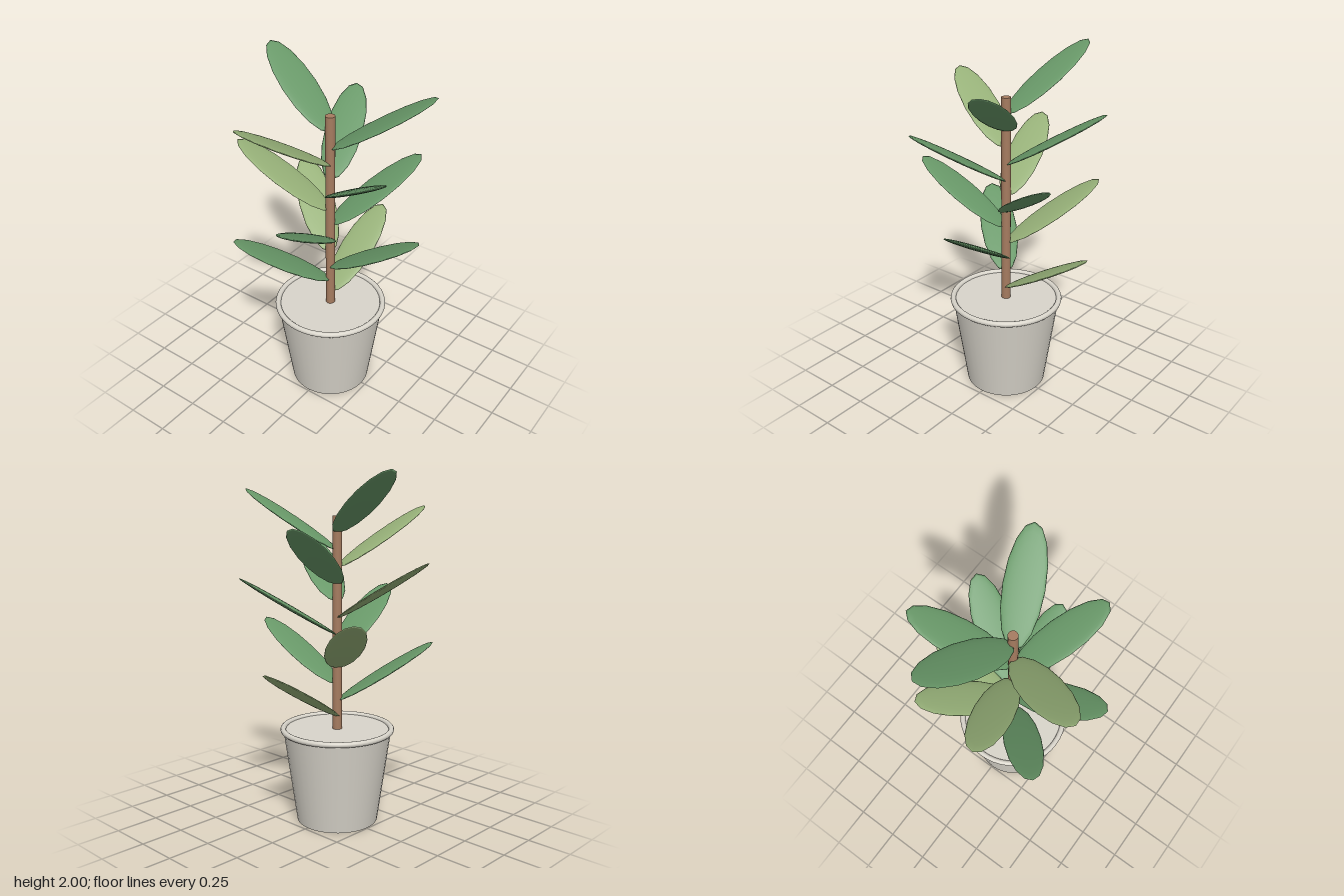
import * as THREE from 'three';

const paint = (name, color) => {
  const material = new THREE.MeshStandardMaterial({ color });
  material.name = name;
  return material;
};

export function createModel() {
  const ceramic = paint('warm white ceramic', 0xd8d4ca);
  const bark = paint('brown bark', 0xa67c60);
  const green = paint('leaf green', 0x689868);
  const lightGreen = paint('light leaf green', 0x96b078);

  const plant = new THREE.Group();
  plant.name = 'pottedPlant';

  const add = (name, geometry, material, y, parent = plant) => {
    const mesh = new THREE.Mesh(geometry, material);
    mesh.name = name;
    mesh.position.y = y;
    parent.add(mesh);
    return mesh;
  };

  // Tapered pot with a closed flat top and a rounded rim
  add('pot', new THREE.CylinderGeometry(0.312, 0.235, 0.545, 40), ceramic, 0.2725);
  add('potRim', new THREE.TorusGeometry(0.312, 0.016, 12, 48).rotateX(Math.PI / 2), ceramic, 0.545);

  // Straight stem
  add('stem', new THREE.CylinderGeometry(0.027, 0.027, 1.22, 16), bark, 1.15);

  // Flattened oval leaves climbing the stem in a golden-angle spiral
  const leafShape = new THREE.SphereGeometry(1, 16, 12)
    .scale(0.32, 0.014, 0.108)
    .rotateZ(0.55)
    .translate(0.275, 0, 0);
  for (let i = 0; i < 12; i++) {
    const leaf = add(`leaf${i + 1}`, leafShape, i % 3 === 0 ? lightGreen : green, 0.785 + i * 0.0953);
    leaf.rotation.y = THREE.MathUtils.degToRad(i * 137.5);
  }

  // Centre the uneven spread of leaves
  plant.position.set(-0.005, 0, -0.01);
  const model = new THREE.Group();
  model.name = 'model';
  model.add(plant);
  return model;
}
